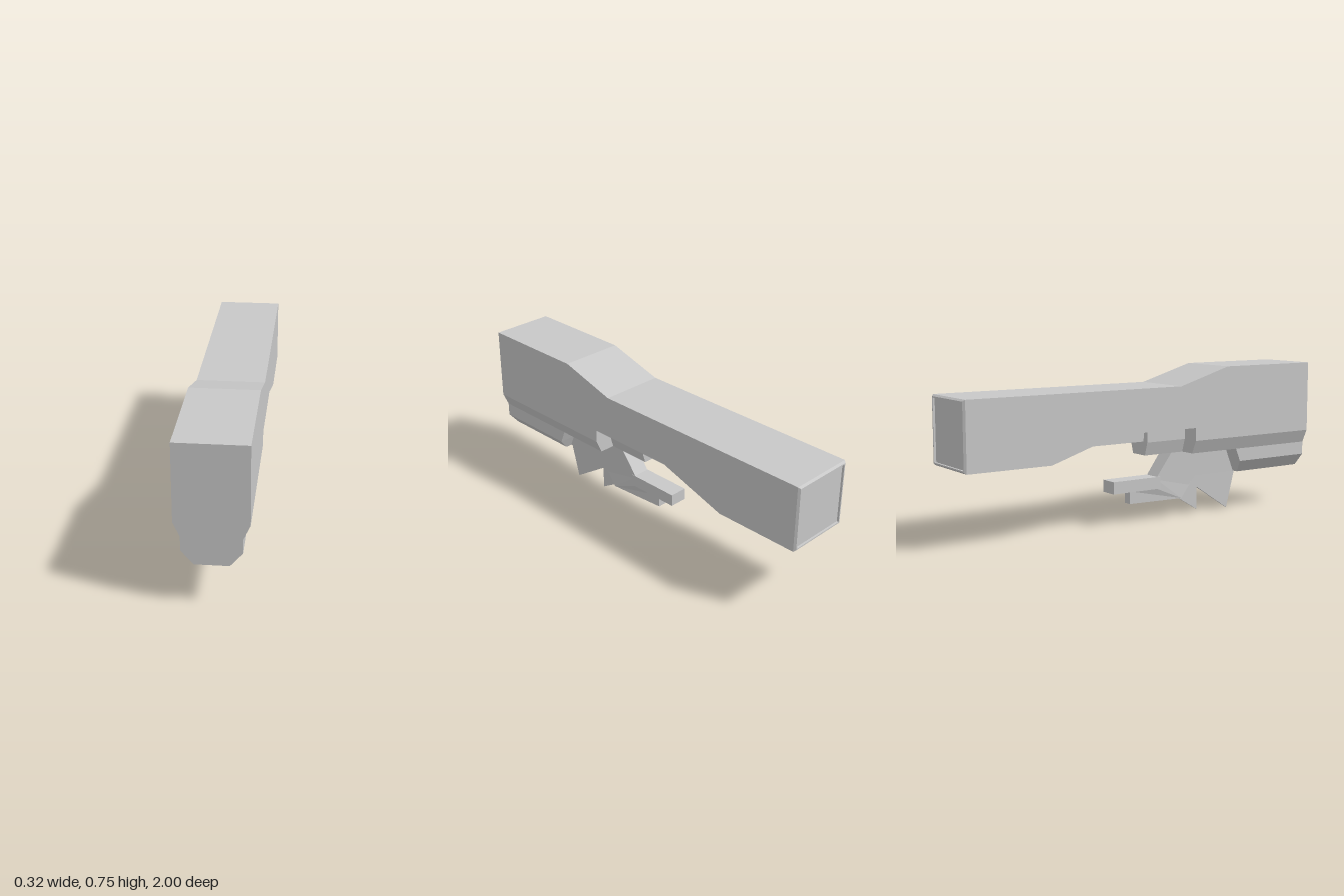
import * as THREE from 'three';

const grey = new THREE.MeshStandardMaterial({ color: 0xc8c8c8 });
grey.name = 'plain grey';

// Solid from a side profile of [z, y] points; halfWidth is a number or a rule of (z, y)
function slab(name, profile, halfWidth) {
  const shape = new THREE.Shape(profile.map(([z, y]) => new THREE.Vector2(-z, y)));
  const geometry = new THREE.ExtrudeGeometry(shape, { depth: 2, bevelEnabled: false });
  geometry.translate(0, 0, -1);
  geometry.rotateY(Math.PI / 2);
  const p = geometry.attributes.position;
  for (let i = 0; i < p.count; i++) {
    const w = typeof halfWidth === 'function' ? halfWidth(p.getZ(i), p.getY(i)) : halfWidth;
    p.setX(i, Math.sign(p.getX(i)) * w);
  }
  geometry.computeVertexNormals();
  const mesh = new THREE.Mesh(geometry, grey);
  mesh.name = name;
  return mesh;
}

// Linear width between two heights
const taper = (y0, w0, y1, w1) => (z, y) => w0 + (w1 - w0) * (y - y0) / (y1 - y0);

// Bevelled rear rim with a sunken panel, from nested rectangles
function rearCap() {
  const rings = [[0, -0.99], [0.008, -1], [0.014, -1], [0.014, -0.99]];
  const corners = rings.map(([inset, z]) => {
    const w = 0.16 - inset, top = 0.67 - inset, low = 0.35 + inset;
    return [[w, low, z], [-w, low, z], [-w, top, z], [w, top, z]];
  });
  const v = [];
  const quad = (a, b, c, d) => v.push(...a, ...b, ...c, ...a, ...c, ...d);
  for (let r = 0; r < 3; r++) {
    for (let i = 0; i < 4; i++) {
      const j = (i + 1) % 4;
      quad(corners[r][i], corners[r][j], corners[r + 1][j], corners[r + 1][i]);
    }
  }
  quad(...corners[3]);
  const geometry = new THREE.BufferGeometry();
  geometry.setAttribute('position', new THREE.Float32BufferAttribute(v, 3));
  geometry.computeVertexNormals();
  const mesh = new THREE.Mesh(geometry, grey);
  mesh.name = 'rearCap';
  return mesh;
}

export function createModel() {
  const group = new THREE.Group();
  group.name = 'model';

  // Main housing with raised front and arched underside
  group.add(slab('housing', [
    [1, 0.755], [0.45, 0.755], [0.16, 0.67], [-0.99, 0.67], [-0.99, 0.35],
    [-0.57, 0.35], [-0.22, 0.46], [0.25, 0.46], [0.25, 0.396], [1, 0.396],
  ], 0.16));
  group.add(rearCap());

  // Stepped lower front
  group.add(slab('housingChamfer', [[1, 0.396], [0.25, 0.396], [0.25, 0.33], [1, 0.33]],
    taper(0.33, 0.13, 0.396, 0.16)));
  group.add(slab('frontBlock', [[1, 0.33], [0.535, 0.33], [0.562, 0.264], [1, 0.264]], 0.13));
  group.add(slab('frontKeel', [[1, 0.264], [0.562, 0.264], [0.59, 0.2], [1, 0.2]],
    taper(0.2, 0.075, 0.264, 0.13)));

  // Narrow core showing under the arch
  group.add(slab('core', [[0.26, 0.47], [0.02, 0.47], [0.02, 0.396], [0.26, 0.396]], 0.07));
  group.add(slab('coreChamfer', [[0.26, 0.396], [0.02, 0.396], [0.02, 0.33], [0.26, 0.33]],
    taper(0.33, 0.05, 0.396, 0.07)));
  group.add(slab('spine', [[0.03, 0.47], [-0.25, 0.47], [-0.42, 0.398], [0.03, 0.398]], 0.04));

  // Lower frame and the two prongs that reach back from it
  group.add(slab('frame', [
    [0.6, 0.2], [0.535, 0.335], [0.19, 0.335], [0.1, 0.215], [0.1, 0.155], [0.3, 0.155], [0.34, 0.2],
  ], taper(0.155, 0.041, 0.335, 0.045)));
  group.add(slab('upperProng', [[0.12, 0.215], [-0.16, 0.215], [-0.16, 0.155], [0.12, 0.155]], 0.045));
  group.add(slab('lowerProng', [
    [0.34, 0.2], [0.1, 0.2], [0.1, 0.155], [-0.05, 0.155], [-0.05, 0.092], [0.25, 0.092],
  ], (z, y) => z > 0.2 ? taper(0.092, 0.045, 0.2, 0.038)(z, y) : 0.022 + 0.02 * (z + 0.05) / 0.15));

  // Thin pointed fins below the frame
  const finWidth = taper(0, 0.003, 0.2, 0.007);
  group.add(slab('frontFin', [[0.63, 0.205], [0.58, 0], [0.38, 0.13], [0.34, 0.205]], finWidth));
  group.add(slab('rearFin', [[0.38, 0.14], [0.38, 0.015], [0.25, 0.092], [0.3, 0.205], [0.38, 0.205]], finWidth));
  return group;
}
